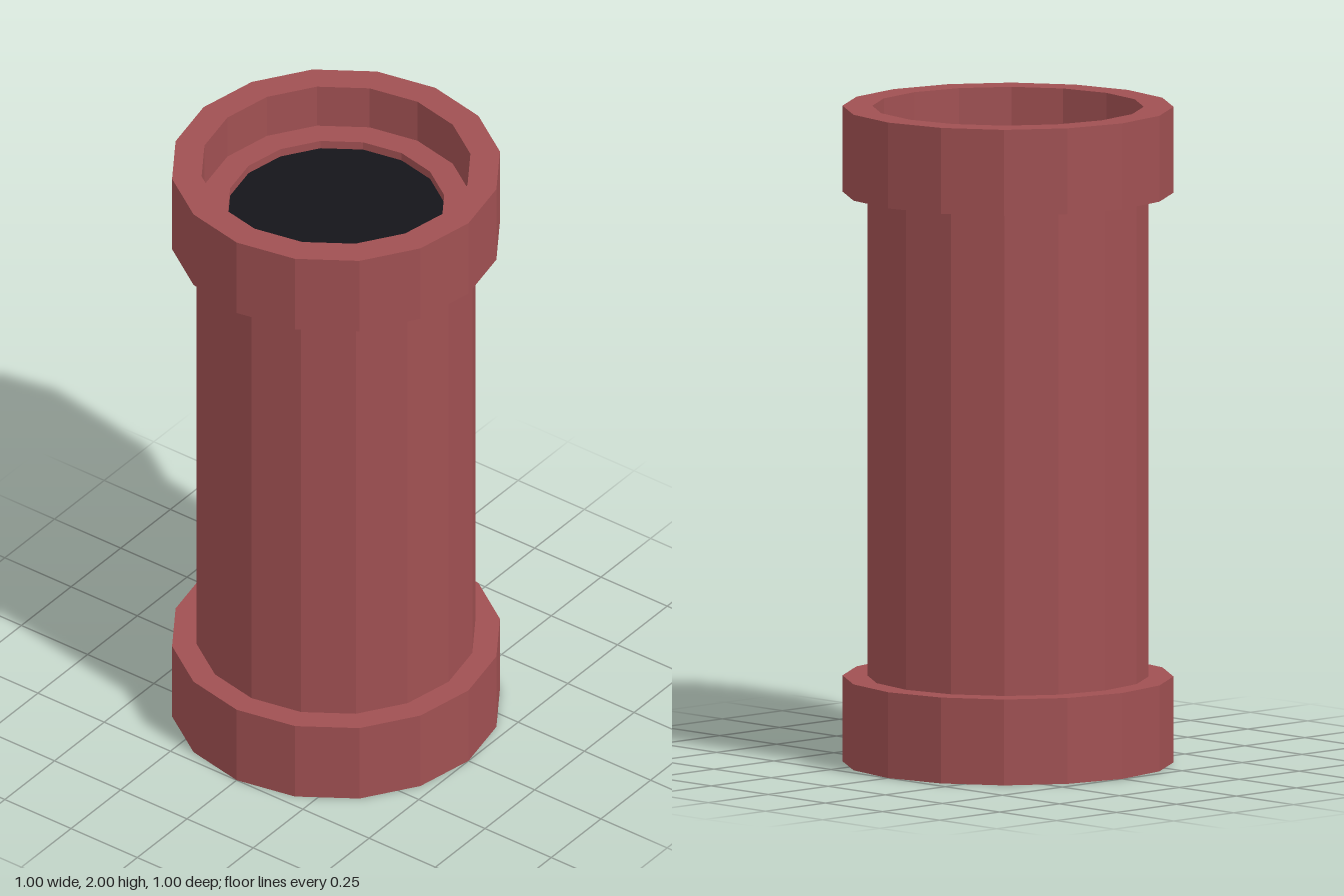
import * as THREE from 'three';

const SIDES = 16;
const HEIGHT = 2;
const COLLAR_HEIGHT = 0.262;
const LIP_DEPTH = 0.145; // from the collar rim down to the pipe end
const BORE_DEPTH = 0.172; // from the collar rim down to the dark bore

export function createModel() {
  const model = new THREE.Group();
  model.name = 'pipe';

  const red = new THREE.MeshStandardMaterial({ color: 0xa05052, flatShading: true });
  const dark = new THREE.MeshStandardMaterial({ color: 0x15151a, flatShading: true });

  const lathe = (name, profile) => {
    const points = profile.map(([r, y]) => new THREE.Vector2(r, y));
    const mesh = new THREE.Mesh(new THREE.LatheGeometry(points, SIDES), red);
    mesh.name = name;
    return mesh;
  };

  // Pipe wall, with its flat ends turning into the bore
  model.add(lathe('pipeBody', [
    [0.33, BORE_DEPTH],
    [0.33, LIP_DEPTH],
    [0.425, LIP_DEPTH],
    [0.425, HEIGHT - LIP_DEPTH],
    [0.33, HEIGHT - LIP_DEPTH],
    [0.33, HEIGHT - BORE_DEPTH],
  ]));

  // Each end: a wide collar and a dark disc closing the bore
  for (const end of ['top', 'bottom']) {
    const group = new THREE.Group();
    group.name = `${end}End`;

    // Heights here are measured from the middle of the pipe
    const rim = HEIGHT / 2;
    group.add(lathe(`${end}Collar`, [
      [0.42, rim - COLLAR_HEIGHT],
      [0.5, rim - COLLAR_HEIGHT],
      [0.5, rim],
      [0.41, rim],
      [0.41, rim - LIP_DEPTH],
    ]));

    const bore = new THREE.Mesh(new THREE.CircleGeometry(0.33, SIDES), dark);
    bore.name = `${end}Bore`;
    bore.rotation.x = -Math.PI / 2;
    bore.position.y = rim - BORE_DEPTH;
    group.add(bore);

    group.position.y = HEIGHT / 2;
    if (end === 'bottom') group.rotation.x = Math.PI;
    model.add(group);
  }

  return model;
}
